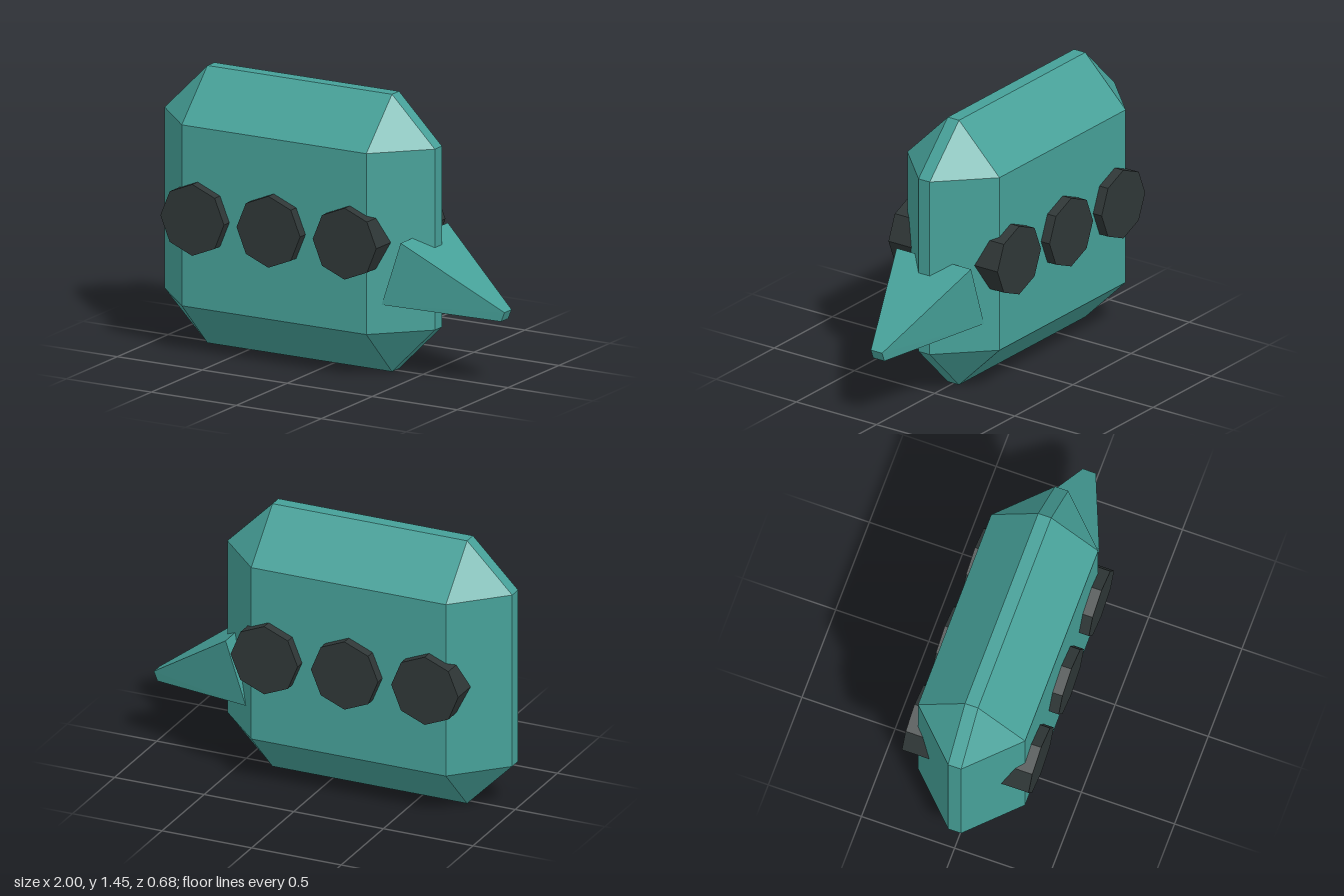
import * as THREE from 'three';
import { ConvexGeometry } from 'three/addons/geometries/ConvexGeometry.js';

const teal = new THREE.MeshStandardMaterial({ color: 0x46a098, flatShading: true });
teal.name = 'teal';
const charcoal = new THREE.MeshStandardMaterial({ color: 0x2f3737, flatShading: true });
charcoal.name = 'charcoal';

function addMesh(group, name, geometry, material) {
  const mesh = new THREE.Mesh(geometry, material);
  mesh.name = name;
  group.add(mesh);
  return mesh;
}

// Box with every edge and corner cut off at 45 degrees
function chamferedBox(hx, hy, hz, cut) {
  const points = [];
  for (const sx of [-1, 1]) for (const sy of [-1, 1]) for (const sz of [-1, 1]) {
    points.push(
      new THREE.Vector3(sx * hx, sy * (hy - cut), sz * (hz - cut)),
      new THREE.Vector3(sx * (hx - cut), sy * hy, sz * (hz - cut)),
      new THREE.Vector3(sx * (hx - cut), sy * (hy - cut), sz * hz)
    );
  }
  return new ConvexGeometry(points);
}

export function createModel() {
  const model = new THREE.Group();
  model.name = 'vehicle';

  // Hull
  const hull = addMesh(model, 'hull', chamferedBox(0.795, 0.725, 0.287, 0.252), teal);
  hull.position.set(-0.205, 0.725, 0);

  // Wedge: side outline points as x, y, half width
  const outline = [[0.507, 0.74, 0.232], [0.395, 0.403, 0.232], [0.98, 0.35, 0.035], [1, 0.4, 0.035]];
  const corners = outline.flatMap(([x, y, w]) => [-w, w].map((z) => new THREE.Vector3(x, y, z)));
  addMesh(model, 'wedge', new ConvexGeometry(corners), teal);

  // Eight-sided wheels running through the hull, showing on both sides
  const wheel = new THREE.CylinderGeometry(0.187, 0.187, 0.68, 8).rotateX(Math.PI / 2);
  for (let i = 0; i < 3; i++) {
    addMesh(model, 'wheelPair' + (i + 1), wheel, charcoal).position.set(-0.655 + i * 0.448, 0.725, 0);
  }
  return model;
}
